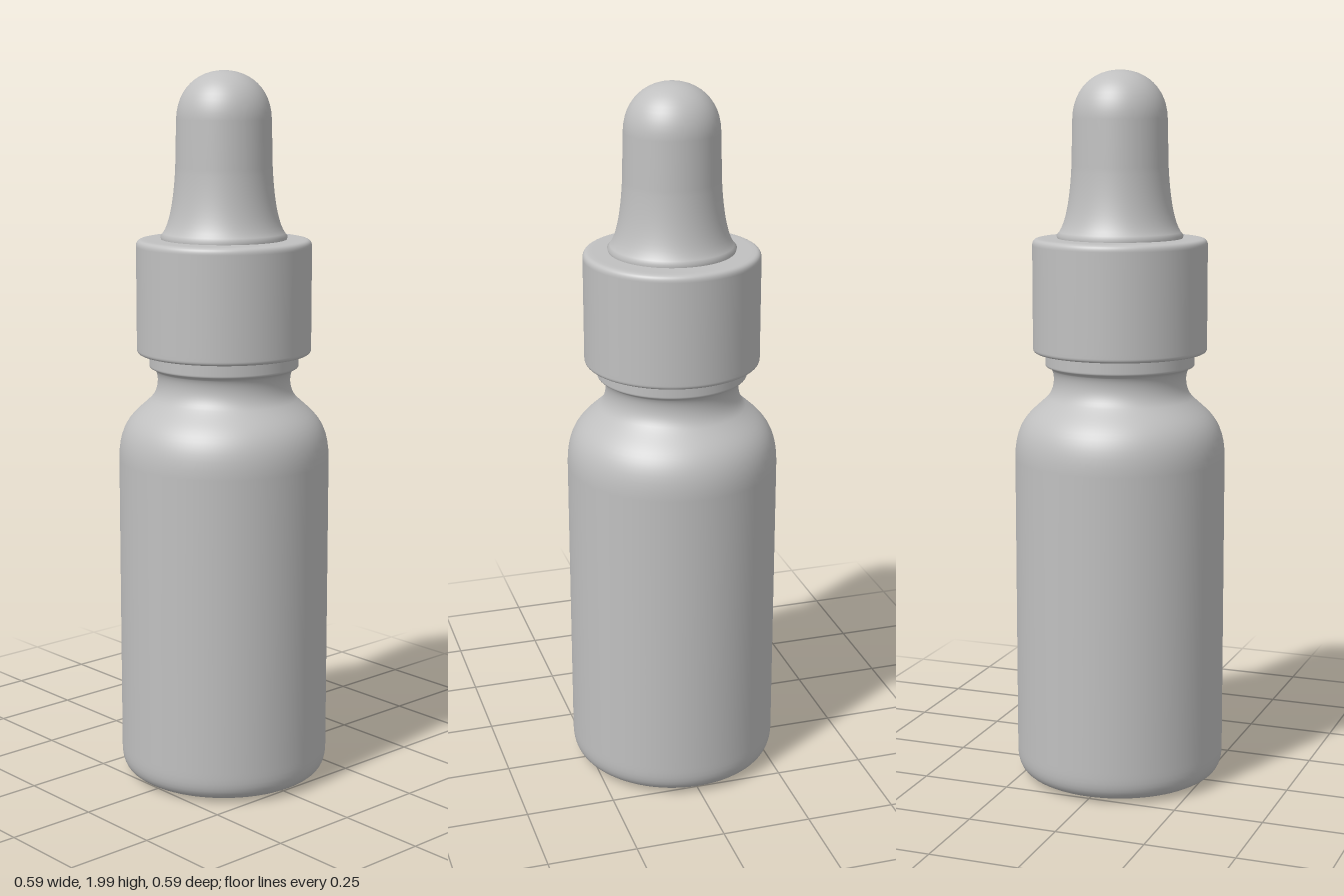
import * as THREE from 'three';

const SEGMENTS = 96;

// Revolve a profile drawn from bottom to top around the y axis
function turned(name, path, material) {
  const points = path.getPoints(12);
  const mesh = new THREE.Mesh(new THREE.LatheGeometry(points, SEGMENTS), material);
  mesh.name = name;
  return mesh;
}

export function createModel() {
  const model = new THREE.Group();
  model.name = 'dropperBottle';
  const grey = new THREE.MeshStandardMaterial({ color: 0xc0c0c0 });
  grey.name = 'plain grey';

  // Bottle: rounded base, straight wall, curved shoulder, waisted neck and collar ring
  const bottle = new THREE.Path();
  bottle.moveTo(0, 0.008);
  bottle.lineTo(0.2, 0.008);
  bottle.bezierCurveTo(0.265, 0.012, 0.294, 0.02, 0.294, 0.085);
  bottle.lineTo(0.294, 0.1);
  bottle.lineTo(0.294, 0.93);
  bottle.bezierCurveTo(0.294, 1.04, 0.245, 1.06, 0.205, 1.1);
  bottle.bezierCurveTo(0.18, 1.125, 0.182, 1.165, 0.19, 1.18);
  bottle.quadraticCurveTo(0.194, 1.187, 0.202, 1.189);
  bottle.quadraticCurveTo(0.208, 1.19, 0.208, 1.197);
  bottle.lineTo(0.208, 1.24);
  model.add(turned('bottle', bottle, grey));

  // Screw cap with softly rounded rims
  const cap = new THREE.Path();
  cap.moveTo(0.19, 1.229);
  cap.lineTo(0.23, 1.229);
  cap.quadraticCurveTo(0.242, 1.229, 0.242, 1.241);
  cap.lineTo(0.242, 1.25);
  cap.lineTo(0.242, 1.525);
  cap.quadraticCurveTo(0.242, 1.543, 0.226, 1.544);
  cap.lineTo(0.215, 1.545);
  cap.lineTo(0.1, 1.545);
  model.add(turned('cap', cap, grey));

  // Rubber bulb: flared foot, slightly tapered stem and domed tip
  const bulb = new THREE.Path();
  bulb.moveTo(0.172, 1.54);
  bulb.lineTo(0.175, 1.553);
  bulb.bezierCurveTo(0.145, 1.58, 0.136, 1.68, 0.133, 1.74);
  bulb.lineTo(0.13, 1.87);
  bulb.bezierCurveTo(0.128, 1.95, 0.072, 2, 0, 2);
  model.add(turned('bulb', bulb, grey));

  return model;
}
